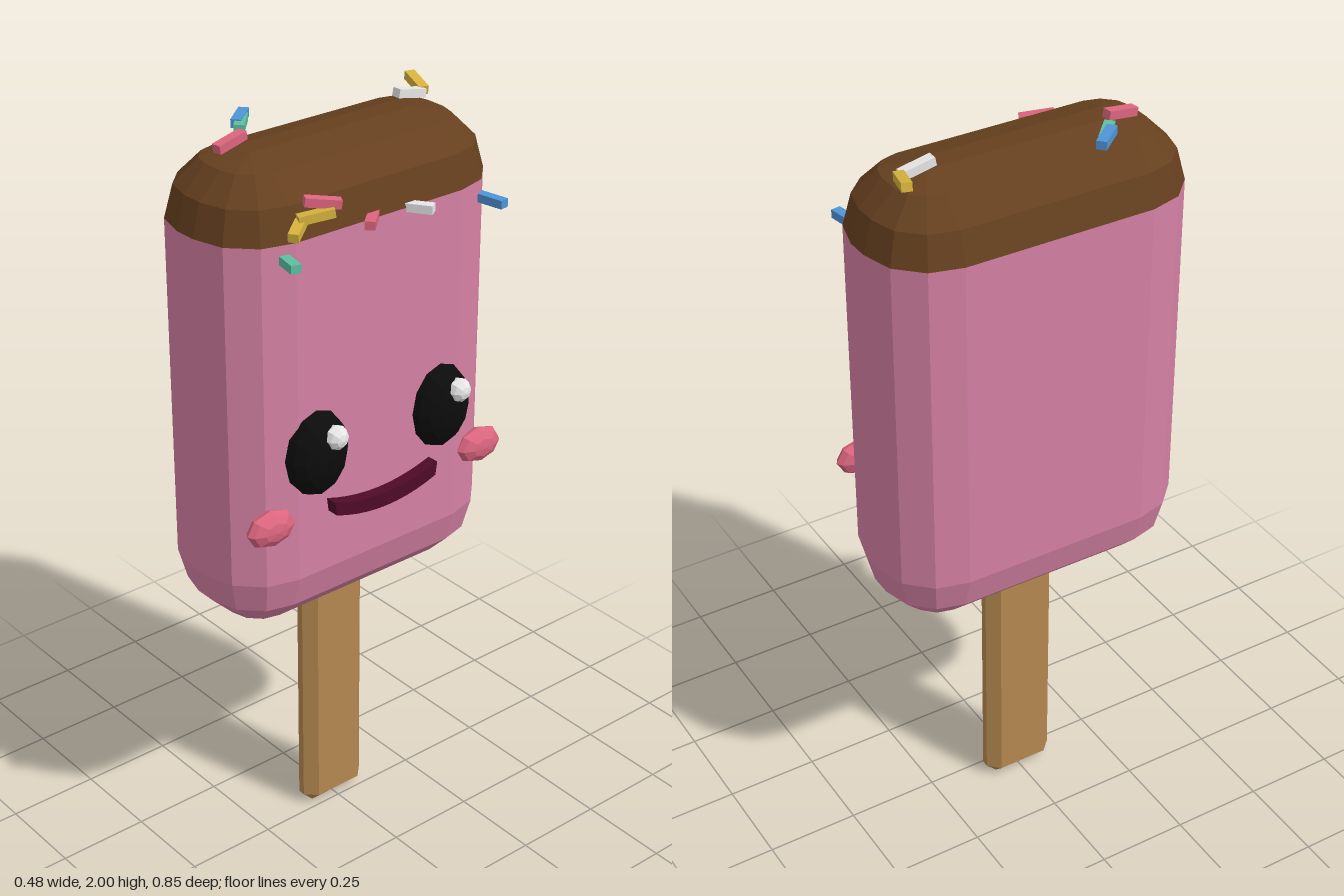
import * as THREE from 'three';

const mat = (name, color) => Object.assign(new THREE.MeshStandardMaterial({ color }), { name });

// Split vertices so that every facet is flat
function facet(geo) {
  const g = geo.index ? geo.toNonIndexed() : geo;
  g.computeVertexNormals();
  return g;
}

// Stack of rounded rectangles: rings are [y, corner radius] around a core of half size cx, cz
function roundedStack(cx, cz, seg, rings, capBottom, capTop) {
  const n = 4 * (seg + 1), pos = [], idx = [];
  const signs = [[1, 1], [-1, 1], [-1, -1], [1, -1]];
  for (const [y, r] of rings) {
    signs.forEach(([sx, sz], q) => {
      for (let k = 0; k <= seg; k++) {
        const a = (q + k / seg) * Math.PI / 2;
        pos.push(sx * cx + r * Math.cos(a), y, sz * cz + r * Math.sin(a));
      }
    });
  }
  for (let j = 0; j < rings.length - 1; j++) {
    for (let i = 0; i < n; i++) {
      const a = j * n + i, b = j * n + (i + 1) % n;
      idx.push(a, a + n, b + n, a, b + n, b);
    }
  }
  const top = (rings.length - 1) * n;
  for (let i = 1; i < n - 1; i++) {
    if (capBottom) idx.push(0, i, i + 1);
    if (capTop) idx.push(top, top + i + 1, top + i);
  }
  const g = new THREE.BufferGeometry();
  g.setAttribute('position', new THREE.Float32BufferAttribute(pos, 3));
  g.setIndex(idx);
  return facet(g);
}

// Ellipsoid with its pole facing +x
function ellipsoid(rx, ry, rz, sides, rows) {
  const g = new THREE.SphereGeometry(1, sides, rows);
  g.rotateZ(-Math.PI / 2);
  g.scale(rx, ry, rz);
  return facet(g);
}

export function createModel() {
  const group = new THREE.Group();
  group.name = 'iceLolly';
  const pink = mat('strawberry pink', 0xd581a3);
  const chocolate = mat('chocolate brown', 0x66401f);
  const wood = mat('stick wood', 0xb58850);
  const black = mat('eye black', 0x0c0c0c);
  const white = mat('white', 0xe6e6e6);
  const maroon = mat('mouth maroon', 0x4f0a28);
  const rose = mat('rose', 0xdc657f);
  const blue = mat('blue', 0x4f94d6);
  const teal = mat('teal', 0x5cbfa0);
  const yellow = mat('yellow', 0xd6b23c);

  const add = (name, geo, material, x = 0, y = 0, z = 0) => {
    const m = new THREE.Mesh(geo, material);
    m.name = name;
    m.position.set(x, y, z);
    group.add(m);
    return m;
  };

  // Ice body, chocolate cap and stick
  const midX = -0.04, R = 0.17, low = 0.89, high = 1.8;
  const arc = [0, 1, 2, 3].map(k => [R * Math.sin(k * Math.PI / 6), R * Math.cos(k * Math.PI / 6)]);
  const bottom = arc.map(([h, r]) => [low - h, r]).reverse();
  const cap = arc.map(([h, r]) => [high + h, r]);
  add('iceBody', roundedStack(0.03, 0.257, 3, [...bottom, [high, R]], true, false), pink, midX);
  add('chocolateCap', roundedStack(0.03, 0.257, 3, cap, false, true), chocolate, midX);
  add('stick', roundedStack(0.01, 0.07, 1, [[0, 0], [0.03, 0.03], [0.76, 0.03]], true, true), wood, midX);

  // Eyes with highlights, and cheeks
  for (const s of [1, -1]) {
    const side = s > 0 ? 'Front' : 'Back';
    add('eye' + side, ellipsoid(0.065, 0.118, 0.092, 12, 8), black, 0.153, 1.233, s * 0.2);
    add('eyeHighlight' + side, ellipsoid(0.032, 0.033, 0.033, 8, 6), white, 0.204, 1.285, s * 0.2 - 0.024);
    add('cheek' + side, ellipsoid(0.032, 0.049, 0.072, 8, 6), rose, 0.157, 1.07, s * 0.342);
  }

  // Smiling mouth
  const smile = new THREE.Shape();
  smile.moveTo(-0.168, 1.093);
  smile.quadraticCurveTo(0, 1.037, 0.168, 1.093);
  smile.lineTo(0.163, 1.056);
  smile.quadraticCurveTo(0, 0.996, -0.163, 1.056);
  const mouth = new THREE.ExtrudeGeometry(smile, { depth: 0.05, bevelEnabled: false, curveSegments: 10 });
  mouth.rotateY(Math.PI / 2);
  add('mouth', mouth, maroon, 0.143);

  // Sprinkles: colour, centre, direction
  const sprinkles = [
    [yellow, [-0.108, 1.982, -0.34], [0.085, -0.015, 0.025]],
    [white, [-0.065, 1.981, -0.28], [0, 0.018, 0.09]],
    [blue, [-0.175, 1.986, 0.16], [0.055, 0, 0.065]],
    [teal, [-0.152, 1.983, 0.175], [0.065, 0, 0.06]],
    [rose, [-0.075, 1.98, 0.265], [0.01, -0.015, 0.085]],
    [blue, [0.168, 1.755, -0.345], [0.09, 0, -0.015]],
    [white, [0.17, 1.8, -0.1], [0.075, 0, -0.05]],
    [rose, [0.168, 1.804, 0.035], [0.055, 0, 0.06]],
    [rose, [0.168, 1.885, 0.185], [0.04, -0.012, -0.075]],
    [yellow, [0.175, 1.86, 0.21], [0.03, 0.01, -0.075]],
    [yellow, [0.173, 1.84, 0.262], [0.05, -0.01, 0.065]],
    [teal, [0.17, 1.764, 0.29], [0.085, 0, 0.018]],
  ];
  const bar = new THREE.BoxGeometry(0.026, 0.022, 0.088);
  sprinkles.forEach(([material, c, d], i) => {
    const m = add('sprinkle' + (i + 1), bar, material, ...c);
    m.lookAt(c[0] + d[0], c[1] + d[1], c[2] + d[2]);
  });
  return group;
}
